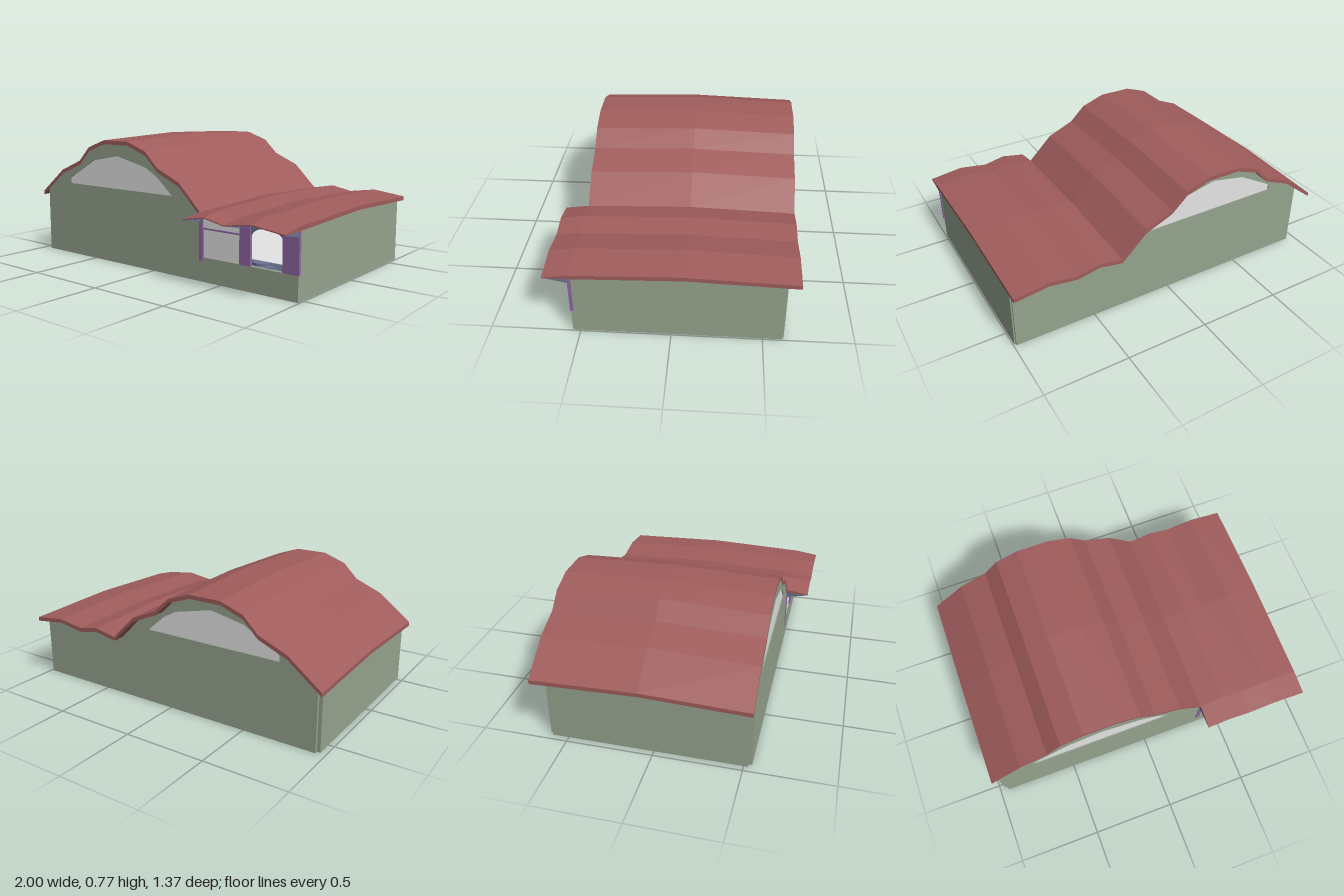
import * as THREE from 'three';

const mat = (name, color) => new THREE.MeshStandardMaterial({ name, color, side: THREE.DoubleSide });

// Roof line across the building: [x, y] along the ridge
const ROOF = [[-1, 0.405], [-0.8, 0.56], [-0.63, 0.63], [-0.54, 0.72], [-0.4, 0.77], [-0.2, 0.77],
  [-0.055, 0.72], [0.04, 0.63], [0.205, 0.56], [0.357, 0.412], [0.5, 0.438], [0.63, 0.412], [0.8, 0.437], [1, 0.412]];
const THICK = 0.024;
const BACK = -0.685, FRONT = 0.545, PORCH = 0.683;
const WALL_BACK = -0.615, WALL_FRONT = 0.543;

// The roof falls gently to front and back
const drop = z => 0.02 * Math.abs(z + 0.07) / 0.615;

function followRoof(geo) {
  const p = geo.attributes.position;
  for (let i = 0; i < p.count; i++) {
    if (p.getY(i) > 0.3) p.setY(i, p.getY(i) - drop(p.getZ(i)));
  }
  geo.computeVertexNormals();
  return geo;
}

const shapeOf = pts => new THREE.Shape(pts.map(([x, y]) => new THREE.Vector2(x, y)));

function extrude(shape, z0, z1, steps = 1) {
  const geo = new THREE.ExtrudeGeometry(shape, { depth: z1 - z0, steps, bevelEnabled: false, curveSegments: 10 });
  return geo.translate(0, 0, z0);
}

function roofSlab(line, z0, z1, steps) {
  const under = line.map(([x, y]) => [x, y - THICK]).reverse();
  return extrude(shapeOf([...line, ...under]), z0, z1, steps);
}

// The porch roof tapers to a thin front edge that keeps the wave
function porchSlab() {
  const geo = roofSlab(ROOF.slice(9), FRONT, PORCH, 1);
  const p = geo.attributes.position;
  for (let i = 0; i < p.count; i++) {
    const ridge = ROOF.find(([x]) => Math.abs(x - p.getX(i)) < 0.001)[1];
    const isTop = p.getY(i) > ridge - THICK / 2;
    const tip = isTop ? ridge - 0.04 : ridge - 0.046;
    p.setY(i, p.getZ(i) > FRONT + 0.01 ? tip : p.getY(i) - 0.02);
  }
  geo.computeVertexNormals();
  return geo;
}

export function createModel() {
  const group = new THREE.Group();
  const roofRed = mat('roofRed', 0xa05c5c);
  const wallGreen = mat('wallGreen', 0x95a38e);
  const paneWhite = mat('paneWhite', 0xe4e4e4);
  const trimPurple = mat('trimPurple', 0x9068a4);
  const floorBlue = mat('floorBlue', 0x8b94b2);
  const archBlue = mat('archBlue', 0x6c7492);

  const add = (name, geo, material) => {
    const mesh = new THREE.Mesh(geo, material);
    mesh.name = name;
    group.add(mesh);
    return mesh;
  };
  const box = (name, material, [x0, x1], [y0, y1], [z0, z1], zSeg = 1) => {
    const geo = new THREE.BoxGeometry(x1 - x0, y1 - y0, z1 - z0, 1, 1, zSeg);
    geo.translate((x0 + x1) / 2, (y0 + y1) / 2, (z0 + z1) / 2);
    return add(name, geo, material);
  };

  // Roof: the wavy main slab and its extension over the porch
  add('mainRoof', followRoof(roofSlab(ROOF, BACK, FRONT, 2)), roofRed);
  add('porchRoof', porchSlab(), roofRed);

  // Gable walls with a window opening, the tops tucked into the roof
  const pane = [[-0.72, 0.46], [0.15, 0.46], [0.04, 0.555], [-0.05, 0.605], [-0.29, 0.66], [-0.5, 0.62], [-0.69, 0.515], [-0.72, 0.495]];
  const tops = ROOF.slice(1, -1).map(([x, y]) => [x, y - 0.033]);
  const leftTop = [-0.945, 0.447 - 0.033];
  const backLine = [[-0.945, 0], leftTop, ...tops, [0.985, 0.38], [0.985, 0]];
  const frontLine = [[-0.945, 0], leftTop, ...tops.slice(0, 9), [0.36, 0.14], [0.973, 0.14], [0.973, 0]];
  for (const [side, line, z] of [['back', backLine, WALL_BACK], ['front', frontLine, WALL_FRONT - 0.02]]) {
    const wall = shapeOf(line);
    wall.holes.push(shapeOf(pane));
    add(side + 'Wall', extrude(wall, z, z + 0.02), wallGreen);
    add(side + 'Window', extrude(shapeOf(pane), z + 0.006, z + 0.014), paneWhite);
  }

  // Side walls
  followRoof(box('leftSideWall', wallGreen, [0.973, 0.993], [0, 0.395], [WALL_BACK + 0.01, WALL_FRONT], 2).geometry);
  followRoof(box('rightSideWall', wallGreen, [-0.965, -0.945], [0, 0.418], [WALL_BACK + 0.018, 0.525], 2).geometry);

  // Porch front: glazed bay, posts, rail and arched doorway
  add('bayPane', extrude(shapeOf([[0.37, 0.14], [0.64, 0.14], [0.64, 0.375], [0.5, 0.403], [0.37, 0.375]]), 0.53, 0.538), paneWhite);
  box('bayRail', trimPurple, [0.38, 0.63], [0.297, 0.306], [0.534, 0.543]);
  for (const [x0, x1, y0] of [[0.355, 0.38, 0.12], [0.63, 0.7, 0.14], [0.9, 0.998, 0.14]]) {
    box('porchPost', trimPurple, [x0, x1], [y0, 0.38], [0.53, 0.548]);
  }
  const arch = new THREE.Shape();
  arch.moveTo(0.7, 0.3);
  arch.absellipse(0.8, 0.3, 0.1, 0.05, Math.PI, 0, true);
  arch.lineTo(0.9, 0.39);
  arch.lineTo(0.8, 0.403);
  arch.lineTo(0.7, 0.39);
  add('doorArch', extrude(arch, 0.532, 0.542), archBlue);

  // Triangular brackets carrying the porch roof
  for (const x of [0.362, 0.63, 0.99]) {
    const geo = extrude(shapeOf([[-0.547, 0.337], [-0.547, 0.375], [-0.68, 0.37], [-0.68, 0.366]]), -0.005, 0.005);
    geo.rotateY(Math.PI / 2);
    geo.translate(x, 0, 0);
    add('porchBracket', geo, archBlue);
  }

  // Main floor, pale above and below, with a lower strip along the front
  box('floor', archBlue, [-0.945, 0.973], [0.125, 0.135], [-0.595, 0.4]);
  box('floorCovering', paneWhite, [-0.945, 0.973], [0.135, 0.139], [-0.4, 0.4]);
  box('floorPanel', paneWhite, [-0.945, 0.6], [0.12, 0.125], [-0.4, 0.4]);
  box('frontFloor', floorBlue, [-0.945, 0.973], [0.085, 0.095], [0.4, 0.523]);
  box('frontRiser', floorBlue, [-0.945, 0.973], [0.095, 0.139], [0.4, 0.41]);

  // Rounded steps inside the doorway
  for (let i = 0; i < 3; i++) {
    const step = new THREE.CylinderGeometry(0.115 - i * 0.03, 0.115 - i * 0.03, 0.014, 16, 1, false, -Math.PI / 2, Math.PI);
    add('doorStep', step.translate(0.68, 0.102 + i * 0.014, 0.405), archBlue);
  }

  // Beams, walls and fittings below the floor
  box('backBeam', floorBlue, [-0.945, 0.55], [0.065, 0.125], [-0.425, -0.4]);
  box('innerWall', paneWhite, [0.18, 0.2], [0.04, 0.12], [-0.17, 0.4]);
  box('innerWallReturn', paneWhite, [0.2, 0.48], [0.04, 0.12], [-0.17, -0.15]);
  box('frontFloorPatch', roofRed, [-0.6, -0.32], [0.081, 0.085], [0.41, 0.522]);
  box('floorPatchLong', roofRed, [0.4, 0.46], [0.116, 0.12], [-0.04, 0.22]);
  box('floorPatchShort', roofRed, [0.28, 0.4], [0.116, 0.12], [-0.04, 0.03]);
  for (let i = 0; i < 10; i++) {
    const x = 0.2 + i * 0.036;
    box('stairSlat', roofRed, [x, x + 0.026], [0.108, 0.12], [-0.398, -0.19]);
  }

  return group;
}
